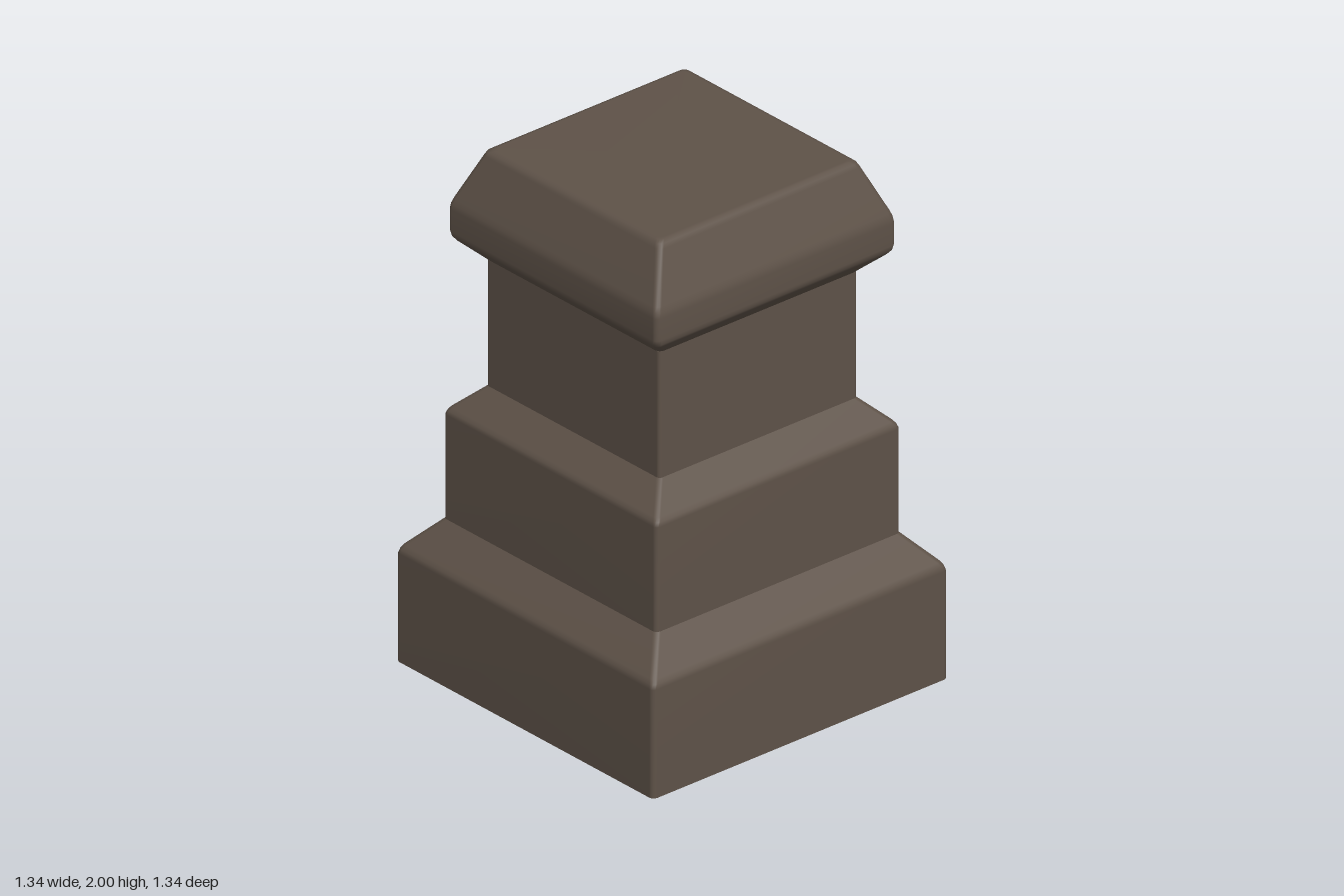
import * as THREE from 'three';

// Outline of a square with rounded corners, walked once around.
function roundedSquare(half, radius, steps = 4) {
  const points = [];
  for (let corner = 0; corner < 4; corner++) {
    const mid = Math.PI / 4 + corner * Math.PI / 2;
    const cx = Math.sign(Math.cos(mid)) * (half - radius);
    const cz = Math.sign(Math.sin(mid)) * (half - radius);
    for (let i = 0; i <= steps; i++) {
      const a = corner * Math.PI / 2 + (i / steps) * Math.PI / 2;
      points.push([cx + Math.cos(a) * radius, cz + Math.sin(a) * radius]);
    }
  }
  return points;
}

// Stacks rounded squares along a profile of [half width, height] pairs.
function squareLoft(profile, radius, closedTop = false) {
  const positions = [], index = [];
  let n = 0;
  for (const [half, y] of profile) {
    const ring = roundedSquare(half, radius);
    n = ring.length;
    for (const [x, z] of ring) positions.push(x, y, z);
  }
  for (let r = 0; r < profile.length - 1; r++) {
    for (let i = 0; i < n; i++) {
      const a = r * n + i, b = r * n + (i + 1) % n;
      index.push(a, a + n, b, b, a + n, b + n);
    }
  }
  if (closedTop) {
    const last = (profile.length - 1) * n, centre = positions.length / 3;
    positions.push(0, profile[profile.length - 1][1], 0);
    for (let i = 0; i < n; i++) index.push(centre, last + (i + 1) % n, last + i);
  }
  const geometry = new THREE.BufferGeometry();
  geometry.setAttribute('position', new THREE.Float32BufferAttribute(positions, 3));
  geometry.setIndex(index);
  geometry.computeVertexNormals();
  return geometry;
}

export function createModel() {
  const stone = new THREE.MeshStandardMaterial({ color: 0x5e5248, side: THREE.DoubleSide });
  stone.name = 'brown stone';

  const group = new THREE.Group();
  group.name = 'pedestal';
  const add = (name, profile, radius, closedTop) => {
    const mesh = new THREE.Mesh(squareLoft(profile, radius, closedTop), stone);
    mesh.name = name;
    group.add(mesh);
  };

  // Hollow shell, open underneath; each tier ends where the next begins.
  add('base', [[0.67, 0], [0.67, 0.42], [0.665, 0.437], [0.655, 0.452], [0.555, 0.56]], 0.02);
  add('middleTier', [[0.555, 0.56], [0.555, 0.965], [0.55, 0.98], [0.54, 0.993], [0.45, 1.08]], 0.018);
  add('shaft', [[0.45, 1.08], [0.45, 1.57]], 0.014);

  // Flared cap with softened edges and a flat top.
  add('cap', [
    [0.45, 1.57], [0.53, 1.645], [0.541, 1.66], [0.545, 1.68],
    [0.545, 1.765], [0.542, 1.785], [0.535, 1.805],
    [0.462, 1.975], [0.454, 1.99], [0.44, 1.998], [0.43, 2.0],
  ], 0.022, true);

  return group;
}
